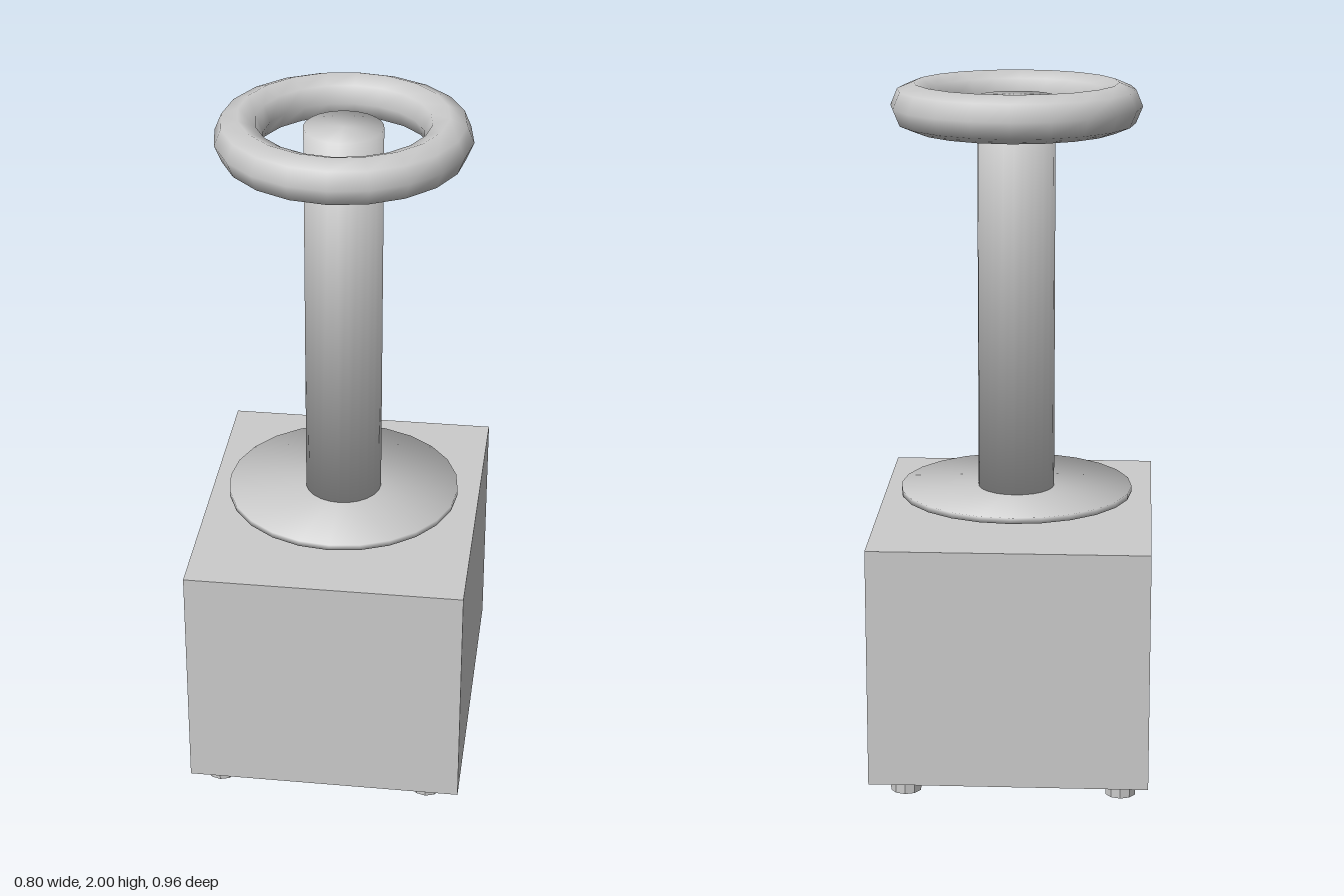
import * as THREE from 'three';

const grey = new THREE.MeshStandardMaterial({ color: 0xcccccc });
const faceted = new THREE.MeshStandardMaterial({ color: 0xcccccc, flatShading: true });

// Cylinder whose rim normals are shared between side and caps (fully smooth shading)
function softCylinder(radius, bottom, top, sides) {
  const geo = new THREE.CylinderGeometry(radius, radius, top - bottom, sides);
  const pos = geo.attributes.position;
  const n = new THREE.Vector3();
  for (let i = 0; i < pos.count; i++) {
    n.set(pos.getX(i) / radius, Math.sign(pos.getY(i)), pos.getZ(i) / radius).normalize();
    geo.attributes.normal.setXYZ(i, n.x, n.y, n.z);
  }
  return geo.translate(0, (bottom + top) / 2, 0);
}

export function createModel() {
  const model = new THREE.Group();
  model.name = 'ringTopPedestal';

  const add = (name, geometry, material = grey) => {
    const mesh = new THREE.Mesh(geometry, material);
    mesh.name = name;
    model.add(mesh);
    return mesh;
  };

  // Base block
  add('baseBlock', new THREE.BoxGeometry(0.8, 0.7, 0.96).translate(0, 0.4, 0));

  // Four small feet under the block
  for (const [side, x] of [['Left', 0.3], ['Right', -0.32]]) {
    for (const [end, z] of [['front', 0.39], ['back', -0.385]]) {
      const foot = add(`${end}${side}Foot`, new THREE.CylinderGeometry(0.045, 0.045, 0.05, 10), faceted);
      foot.position.set(x, 0.025, z);
    }
  }

  // Column and the thin collar disc around its foot
  add('column', softCylinder(0.112, 0.75, 1.96, 24));
  add('collarDisc', softCylinder(0.341, 0.793, 0.81, 24));

  // Ring around the top of the column
  const ring = add('topRing', new THREE.TorusGeometry(0.2925, 0.0675, 8, 20));
  ring.rotation.x = -Math.PI / 2;
  ring.position.y = 1.9325;

  return model;
}
